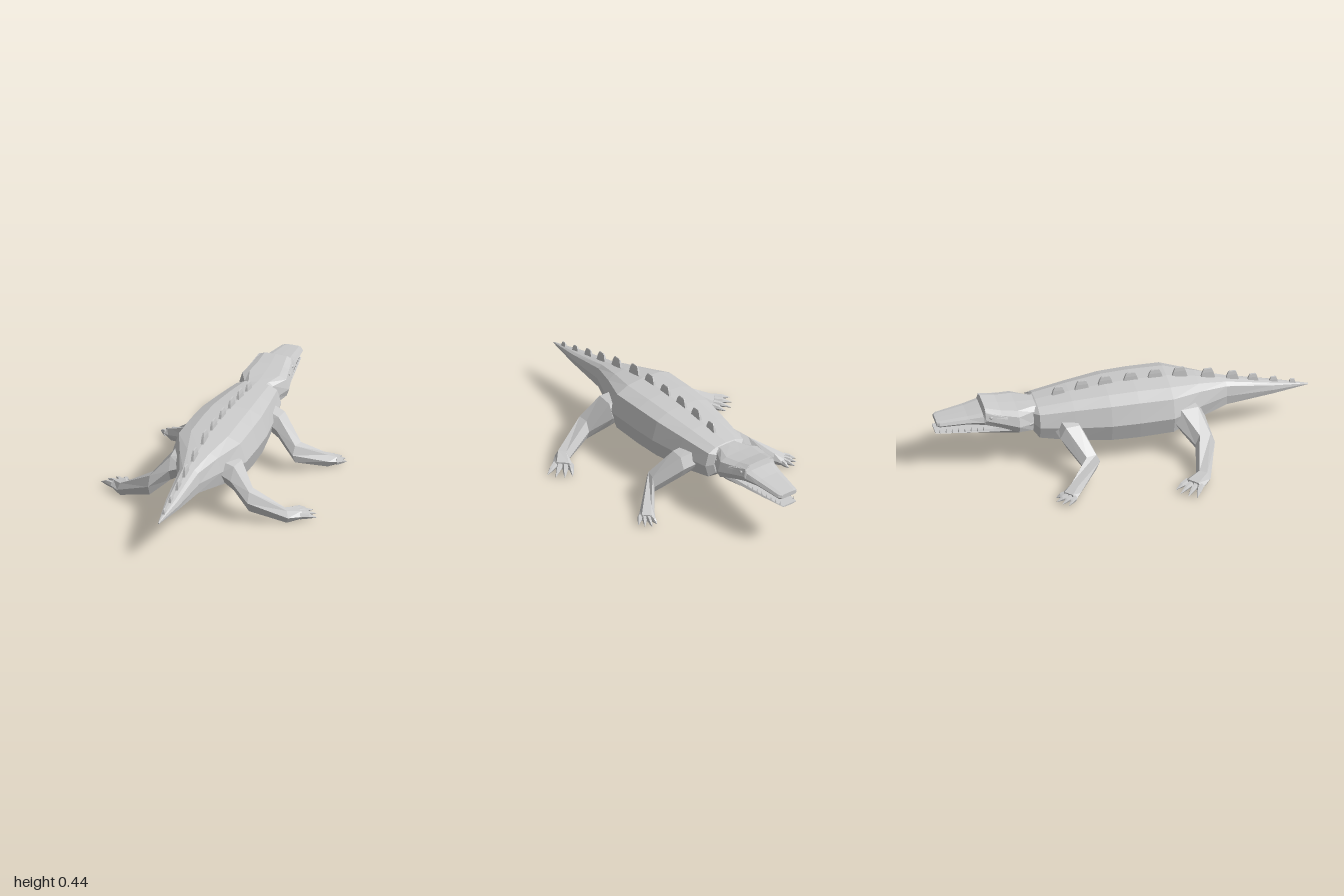
import * as THREE from 'three';

const skin = new THREE.MeshStandardMaterial({ color: 0xcccccc, flatShading: true });
const CX = -0.008; // body axis

// Closed faceted skin through rings of [x, y, z]; winding is corrected by signed volume.
function loft(rings) {
  const tris = [];
  const n = rings[0].length;
  const mid = r => r.reduce((a, p) => a.map((v, k) => v + p[k] / n), [0, 0, 0]);
  for (let i = 0; i < rings.length - 1; i++) {
    for (let j = 0; j < n; j++) {
      const k = (j + 1) % n;
      const a = rings[i][j], b = rings[i][k], c = rings[i + 1][k], d = rings[i + 1][j];
      tris.push([a, b, c], [a, c, d]);
    }
  }
  const first = rings[0], last = rings[rings.length - 1];
  const m0 = mid(first), m1 = mid(last);
  for (let j = 0; j < n; j++) {
    const k = (j + 1) % n;
    tris.push([m0, first[k], first[j]], [m1, last[j], last[k]]);
  }
  let volume = 0;
  for (const t of tris) {
    const [a, b, c] = t.map(p => p.map((v, k) => v - m0[k]));
    volume += a[0] * (b[1] * c[2] - b[2] * c[1]) - a[1] * (b[0] * c[2] - b[2] * c[0])
      + a[2] * (b[0] * c[1] - b[1] * c[0]);
  }
  const flat = tris.flatMap(t => (volume < 0 ? [t[0], t[2], t[1]] : t)).flat();
  const geo = new THREE.BufferGeometry();
  geo.setAttribute('position', new THREE.Float32BufferAttribute(flat, 3));
  geo.computeVertexNormals();
  return geo;
}

function add(parent, name, geo) {
  const mesh = new THREE.Mesh(geo, skin);
  mesh.name = name;
  parent.add(mesh);
  return mesh;
}

// Symmetric ring: profile lists [width share, height share] from top centre to bottom centre.
function symmetricRing(profile, [z, w, top, bottom]) {
  const half = profile.map(([u, v]) => [u * w, bottom + v * (top - bottom)]);
  const other = half.slice(1, -1).reverse().map(([x, y]) => [-x, y]);
  return [...half, ...other].map(([x, y]) => [x + CX, y, z]);
}

const bodyProfile = [[0, 1], [0.5, 0.97], [0.84, 0.86], [1, 0.47], [0.86, 0.08], [0, 0]];
const skullProfile = [[0, 1], [0.6, 0.98], [0.88, 0.84], [1, 0.35], [0.9, 0], [0, 0]];
const jawProfile = [[0, 1], [0.92, 1], [1, 0.7], [0.65, 0.08], [0, 0]];

// Stations: [z, half width, top, bottom]
const bodyStations = [
  [-0.485, 0.1, 0.34, 0.2], [-0.46, 0.135, 0.352, 0.172], [-0.28, 0.167, 0.375, 0.14],
  [-0.09, 0.197, 0.392, 0.127], [0.06, 0.203, 0.395, 0.125], [0.24, 0.203, 0.39, 0.13],
  [0.4, 0.125, 0.36, 0.157], [0.55, 0.062, 0.325, 0.18], [0.8, 0.038, 0.265, 0.2], [0.995, 0.003, 0.218, 0.211],
];
const skullStations = [
  [-0.46, 0.085, 0.348, 0.21], [-0.49, 0.09, 0.35, 0.215], [-0.57, 0.138, 0.354, 0.245],
  [-0.66, 0.118, 0.364, 0.275], [-0.742, 0.102, 0.384, 0.296], [-0.752, 0.1, 0.354, 0.297],
  [-0.83, 0.084, 0.339, 0.303], [-0.978, 0.062, 0.321, 0.294], [-0.993, 0.05, 0.319, 0.295],
];
const jawStations = [
  [-0.46, 0.085, 0.3, 0.198], [-0.57, 0.125, 0.28, 0.206], [-0.7, 0.096, 0.264, 0.218],
  [-0.85, 0.07, 0.256, 0.23], [-0.998, 0.045, 0.252, 0.244],
];

// Limb ring: six sides, flat direction (ax, az) in the ground plane.
function limbRing(side, [x, y, z, ax, az, hw, hh]) {
  const l = Math.hypot(ax, az);
  return [[1, 0], [0.55, 1], [-0.55, 1], [-1, 0], [-0.55, -1], [0.55, -1]].map(([u, v]) => [
    side * (x + (u * hw * ax) / l), Math.max(0, y + v * hh), z + (u * hw * az) / l,
  ]);
}

// Stations: [x, y, z, across x, across z, half width, half height]; toe tips: [x, z]
const frontLeg = {
  path: [
    [0.1, 0.25, -0.325, 0, 1, 0.075, 0.05], [0.19, 0.215, -0.3, -0.1, 1, 0.068, 0.06],
    [0.307, 0.11, -0.228, -0.25, 1, 0.05, 0.048], [0.418, 0.036, -0.343, 1, 1, 0.038, 0.034],
    [0.452, 0.026, -0.383, 1, 1, 0.046, 0.02],
  ],
  tips: [[0.432, -0.445], [0.468, -0.45], [0.497, -0.427], [0.515, -0.395]],
};
const hindLeg = {
  path: [
    [0.1, 0.24, 0.305, 0, 1, 0.09, 0.055], [0.18, 0.215, 0.325, -0.1, 1, 0.085, 0.068],
    [0.275, 0.118, 0.385, 0, 1, 0.052, 0.055], [0.45, 0.034, 0.335, 0.7, 1, 0.04, 0.034],
    [0.497, 0.028, 0.27, 1, 1, 0.058, 0.022],
  ],
  tips: [[0.503, 0.177], [0.545, 0.19], [0.577, 0.225], [0.598, 0.268]],
};

function buildLeg(name, { path, tips }, side) {
  const leg = new THREE.Group();
  leg.name = name;
  add(leg, 'limb', loft(path.map(p => limbRing(side, p))));
  const [px, py, pz, , , hw] = path[path.length - 1];
  tips.forEach(([tx, tz], i) => {
    const s = (i - 1.5) * hw * 0.354;
    const bx = px + s, bz = pz + s;
    const across = [bz - tz, tx - bx];
    // Each toe starts inside the palm and tapers to a claw
    add(leg, 'toe' + (i + 1), loft([
      [bx - (tx - bx) * 0.15, py, bz - (tz - bz) * 0.15, ...across, hw * 0.3, 0.016],
      [bx + (tx - bx) * 0.45, py - 0.003, bz + (tz - bz) * 0.45, ...across, hw * 0.21, 0.012],
      [tx, 0.015, tz, ...across, 0.001, 0.001],
    ].map(p => limbRing(side, p))));
  });
  return leg;
}

export function createModel() {
  const model = new THREE.Group();
  model.name = 'crocodile';

  add(model, 'bodyAndTail', loft(bodyStations.map(s => symmetricRing(bodyProfile, s))));

  const head = new THREE.Group();
  head.name = 'head';
  model.add(head);
  add(head, 'skullAndSnout', loft(skullStations.map(s => symmetricRing(skullProfile, s))));
  add(head, 'lowerJaw', loft(jawStations.map(s => symmetricRing(jawProfile, s))));

  for (const side of [-1, 1]) {
    // Brow ridge overhanging the eye
    const brow = [[-0.63, 0.108, 0.337, 0.005], [-0.69, 0.097, 0.351, 0.008], [-0.744, 0.085, 0.368, 0.008]];
    add(head, 'brow', loft(brow.map(([z, x, y, h]) =>
      [[-0.02, h], [0.008, h * 0.5], [0.012, -h], [-0.02, -h]].map(([dx, dy]) => [CX + side * (x + dx), y + dy, z]))));
    const eye = add(head, 'eye', new THREE.IcosahedronGeometry(0.012, 1));
    eye.position.set(CX + side * 0.096, 0.342, -0.715);

    // Teeth along the lower jaw
    for (let i = 0; i < 8; i++) {
      const t = i / 7;
      const tooth = add(head, 'tooth', new THREE.ConeGeometry(0.006, 0.024, 4));
      tooth.position.set(CX + side * (0.08 - 0.037 * t), 0.267 - 0.007 * t, -0.75 - 0.225 * t);
    }
    const prefix = side > 0 ? 'left' : 'right';
    model.add(buildLeg(prefix + 'FrontLeg', frontLeg, side));
    model.add(buildLeg(prefix + 'HindLeg', hindLeg, side));
  }

  // Thin back plates: [z, tip height, half length]
  const plates = [
    [0.91, 0.262, 0.02], [0.81, 0.292, 0.026], [0.7, 0.328, 0.031], [0.59, 0.364, 0.035], [0.46, 0.4, 0.039],
    [0.31, 0.433, 0.042], [0.18, 0.439, 0.042], [0.05, 0.44, 0.042], [-0.085, 0.438, 0.042], [-0.21, 0.43, 0.04],
    [-0.335, 0.412, 0.037],
  ];
  plates.forEach(([z, tip, r], i) => {
    const h = 0.03 + r * 0.75;
    // Rings: [drop below the tip, half length, half thickness]
    const rings = [[h, r, 0.008], [h * 0.4, r * 0.76, 0.006], [h * 0.08, r * 0.56, 0.003], [0, r * 0.42, 0.001]];
    add(model, 'backPlate' + (i + 1), loft(rings.map(([drop, l, w]) =>
      [[-w, -l], [w, -l], [w, l], [-w, l]].map(([x, dz]) => [CX + x, tip - drop, z + dz]))));
  });
  return model;
}
